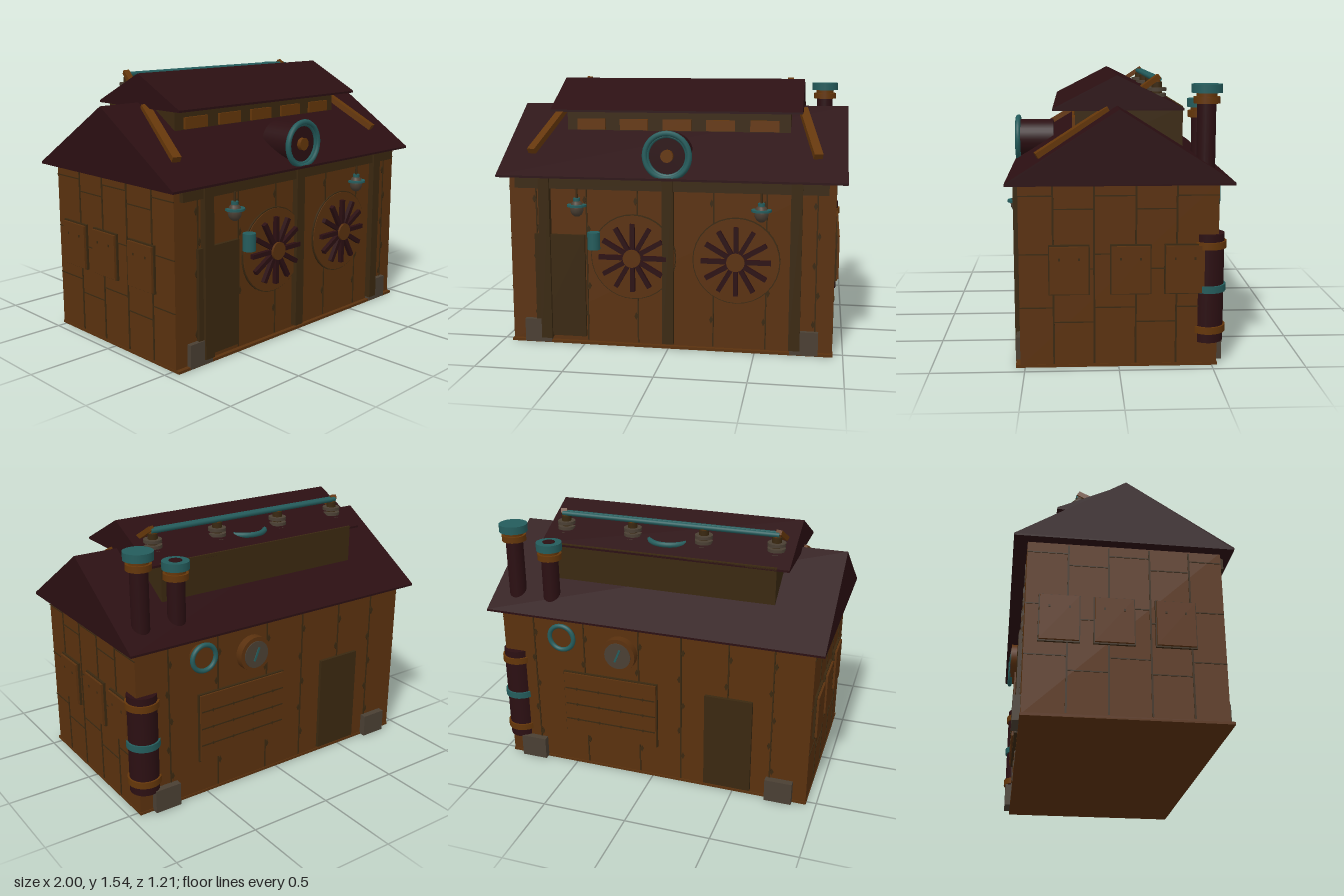
import * as THREE from 'three';

const mat = (name, color) => {
  const m = new THREE.MeshStandardMaterial({ color });
  m.name = name;
  return m;
};

export function createModel() {
  const wood = mat('warm wood', 0x5a310e);
  const dark = mat('dark timber', 0x3a2810);
  const roofRed = mat('dark red', 0x2b0f12);
  const teal = mat('teal', 0x245c5c);
  const stone = mat('grey stone', 0x4a3f33);
  const brass = mat('brass brown', 0x643609);
  const model = new THREE.Group();
  model.name = 'workshop';

  const add = (name, geo, m, x = 0, y = 0, z = 0, parent = model) => {
    const mesh = new THREE.Mesh(geo, m);
    mesh.name = name;
    mesh.position.set(x, y, z);
    parent.add(mesh);
    return mesh;
  };
  // Box given by its limits on each axis
  const box = (name, m, x0, x1, y0, y1, z0, z1, parent) =>
    add(name, new THREE.BoxGeometry(x1 - x0, y1 - y0, z1 - z0), m,
      (x0 + x1) / 2, (y0 + y1) / 2, (z0 + z1) / 2, parent);
  // Upright cylinder between two heights
  const drum = (name, m, r, x, y0, y1, z, seg = 20, parent) =>
    add(name, new THREE.CylinderGeometry(r, r, y1 - y0, seg), m, x, (y0 + y1) / 2, z, parent);
  // Disc whose axis runs along z
  const disc = (name, m, r, depth, x, y, z, seg = 32, parent) => {
    const g = new THREE.CylinderGeometry(r, r, depth, seg).rotateX(Math.PI / 2);
    return add(name, g, m, x, y, z, parent);
  };
  // Square beam between two points
  const beam = (name, m, a, b, w, h) => {
    const p = new THREE.Vector3(...a), q = new THREE.Vector3(...b);
    const mesh = add(name, new THREE.BoxGeometry(w, h, p.distanceTo(q)), m);
    mesh.position.copy(p).lerp(q, 0.5);
    mesh.lookAt(q);
    return mesh;
  };
  // Solid gable roof running along x
  const gable = (name, halfX, yEave, yRidge, zBack, zFront) => {
    const s = new THREE.Shape([
      [-zFront, yEave], [-zBack, yEave], [-zBack, yEave + 0.012], [0, yRidge], [-zFront, yEave + 0.012],
    ].map(p => new THREE.Vector2(...p)));
    const g = new THREE.ExtrudeGeometry(s, { depth: 2 * halfX, bevelEnabled: false });
    g.translate(0, 0, -halfX).rotateY(Math.PI / 2);
    return add(name, g, roofRed);
  };

  // Main body, sills and roofs
  box('walls', wood, -0.94, 0.94, 0.005, 1.0, -0.525, 0.525);
  box('basePlate', wood, -0.942, 0.942, 0, 0.015, -0.53, 0.55);
  for (const s of [-1, 1]) box('stoneSill', stone, s * 0.78 - 0.08, s * 0.78 + 0.08, 0.003, 0.14, -0.565, 0.553);
  gable('mainRoof', 1, 0.99, 1.38, -0.6, 0.59);
  box('clerestoryWall', dark, -0.67, 0.67, 1.1, 1.37, -0.36, 0.225);
  gable('upperRoof', 0.74, 1.352, 1.54, -0.36, 0.345);
  for (let i = -2; i <= 2; i++)
    box('clerestoryVent', brass, i * 0.26 - 0.085, i * 0.26 + 0.085, 1.24, 1.305, 0.2, 0.24);
  for (const s of [-1, 1])
    beam('roofBrace', brass, [s * 0.735, 1.36, 0.05], [s * 0.835, 1.125, 0.43], 0.05, 0.035);

  // Plank seams and studs on the front and back
  const stud = new THREE.CylinderGeometry(0.018, 0.018, 0.007, 4).rotateX(Math.PI / 2);
  for (const [z, xs] of [[0.526, [-0.78, -0.48, -0.18, 0.26, 0.56, 0.84]],
    [-0.526, [0.74, 0.42, 0.08, -0.18, -0.46, -0.72]]]) {
    for (const x of xs) {
      box('plankSeam', dark, x - 0.004, x + 0.004, 0.02, 0.98, z - 0.003, z + 0.003);
      for (let y = 0.18; y < 0.9; y += 0.17)
        add('plankStud', stud, dark, x + (Math.round(y * 100) % 2 ? 0.012 : -0.012), y, z)
          .scale.set(0.6, 1.3, 1);
    }
  }
  // Seams on the side walls, staggered column by column
  const cols = [0.525, 0.345, 0.13, -0.09, -0.305, -0.525];
  for (const s of [-1, 1]) {
    const x = s * 0.941;
    for (let i = 0; i < 5; i++) {
      if (i) box('sideSeam', dark, x - 0.003, x + 0.003, 0.02, 0.98, cols[i] - 0.005, cols[i] + 0.005);
      for (const y of i % 2 ? [0.25, 0.54, 0.86] : [0.33, 0.62, 0.93])
        box('sideSeam', dark, x - 0.003, x + 0.003, y - 0.003, y + 0.003, cols[i + 1], cols[i]);
    }
    // Shutters, each a panel on a dark backing
    for (const z of [0.262, -0.062, -0.348]) {
      box('shutterEdge', dark, x - 0.012, x + 0.012, 0.402, 0.672, z - 0.109, z + 0.109);
      box('shutter', wood, x - 0.025, x + 0.025, 0.41, 0.664, z - 0.102, z + 0.102);
      for (const d of [-0.052, 0.052])
        box('shutterNail', dark, x - 0.027, x + 0.027, 0.59, 0.604, z + d - 0.005, z + d + 0.005);
    }
  }

  // Front frame and door
  box('frontBeam', dark, -0.9, 0.9, 0.925, 0.99, 0.52, 0.55);
  for (const x of [-0.725, 0, 0.725]) box('frontPost', dark, x - 0.032, x + 0.032, 0.03, 0.985, 0.52, 0.562);
  box('frontDoor', dark, -0.79, -0.49, 0.045, 0.655, 0.52, 0.545);
  drum('doorLantern', teal, 0.037, -0.43, 0.58, 0.68, 0.563, 16);

  // Fans with twelve blades
  for (const x of [-0.205, 0.39]) {
    const fan = new THREE.Group();
    fan.name = 'fan';
    fan.position.set(x, 0.535, 0);
    model.add(fan);
    disc('fanRim', dark, 0.25, 0.02, 0, 0, 0.525, 32, fan);
    disc('fanPlate', wood, 0.244, 0.03, 0, 0, 0.525, 32, fan);
    for (let i = 0; i < 12; i++) {
      const a = i * Math.PI / 6;
      const blade = add('fanBlade', new THREE.BoxGeometry(0.15, 0.026, 0.025), roofRed,
        0.123 * Math.cos(a), 0.123 * Math.sin(a), 0.557, fan);
      blade.rotation.z = a;
    }
    disc('fanHub', wood, 0.052, 0.055, 0, 0, 0.555, 20, fan);
  }

  // Hanging lamps
  for (const x of [-0.53, 0.53]) {
    drum('lampStem', dark, 0.007, x, 0.85, 0.93, 0.55, 8);
    const bulb = add('lampBulb', new THREE.SphereGeometry(0.04, 12, 8), stone, x, 0.815, 0.55);
    bulb.scale.y = 1.25;
    drum('lampShade', teal, 0.057, x, 0.826, 0.838, 0.55, 16);
    drum('lampCap', teal, 0.02, x, 0.855, 0.875, 0.55, 10);
  }

  // Front wheel emblem
  add('frontWheel', new THREE.TorusGeometry(0.127, 0.016, 8, 40), teal, 0, 1.128, 0.57);
  add('frontWheelInner', new THREE.TorusGeometry(0.112, 0.01, 6, 40), teal, 0, 1.128, 0.565);
  disc('frontWheelBack', roofRed, 0.115, 0.2, 0, 1.128, 0.455);
  disc('frontWheelHub', brass, 0.036, 0.04, 0, 1.128, 0.56, 16);

  // Chimneys
  for (const [x, top] of [[0.86, 1.5], [0.64, 1.41]]) {
    drum('chimneyPipe', roofRed, 0.05, x, 1.0, top - 0.02, -0.46);
    drum('chimneyCollar', brass, 0.07, x, top - 0.1, top - 0.065, -0.46);
    drum('chimneyNeck', brass, 0.055, x, top - 0.065, top - 0.04, -0.46);
    const r = x > 0.7 ? 0.082 : 0.075;
    drum('chimneyCap', teal, r, x, top - 0.045, top, -0.46);
  }
  drum('chimneyOpening', roofRed, 0.036, 0.64, 1.4, 1.413, -0.46);

  // Corner tank with bands
  drum('cornerTank', roofRed, 0.084, 0.882, 0.13, 0.72, -0.48, 24);
  for (const [y, m] of [[0.2, brass], [0.425, teal], [0.66, brass]])
    drum('tankBand', m, 0.095, 0.882, y - 0.019, y + 0.019, -0.48, 24);

  // Rooftop conductor on ribbed insulators
  for (const x of [-0.635, -0.215, 0.215, 0.635]) {
    drum('insulatorCore', dark, 0.028, x, 1.36, 1.5, -0.22, 12);
    for (const y of [1.4, 1.43, 1.46]) drum('insulatorDisc', stone, 0.052, x, y - 0.009, y + 0.009, -0.22, 16);
    drum('insulatorCap', brass, 0.022, x, 1.48, 1.51, -0.22, 12);
  }
  for (const z of [-0.208, -0.232])
    add('conductorRod', new THREE.CylinderGeometry(0.014, 0.014, 1.3, 10).rotateZ(Math.PI / 2), teal, 0, 1.515, z);
  for (const s of [-1, 1])
    beam('conductorBracket', brass, [s * 0.67, 1.462, -0.13], [s * 0.645, 1.53, -0.23], 0.035, 0.028);
  add('roofRing', new THREE.TorusGeometry(0.127, 0.016, 8, 40).rotateX(Math.PI / 2), teal, 0, 1.41, -0.17);

  // Back wall: ring, gauge, hatch and door
  add('backRing', new THREE.TorusGeometry(0.075, 0.014, 8, 32), teal, 0.54, 0.87, -0.572);
  disc('backRingMount', wood, 0.066, 0.05, 0.54, 0.87, -0.54);
  disc('gaugeRim', wood, 0.104, 0.05, 0.19, 0.805, -0.548);
  disc('gaugeFace', stone, 0.08, 0.056, 0.19, 0.805, -0.55);
  box('gaugeNeedle', teal, 0.184, 0.196, 0.765, 0.85, -0.583, -0.575).rotation.z = 0.4;
  box('hatchEdge', dark, -0.036, 0.556, 0.214, 0.636, -0.54, -0.52);
  box('hatch', wood, -0.03, 0.55, 0.22, 0.63, -0.55, -0.52);
  for (const y of [0.32, 0.425, 0.53]) {
    box('hatchSeam', dark, -0.025, 0.545, y - 0.004, y + 0.004, -0.552, -0.548);
    for (let i = 0; i < 4; i++) add('hatchStud', stud, dark, 0.05 + i * 0.14, y, -0.55).scale.set(0.6, 0.6, 1);
  }
  box('backDoor', dark, -0.607, -0.325, 0.03, 0.62, -0.545, -0.52);
  return model;
}
